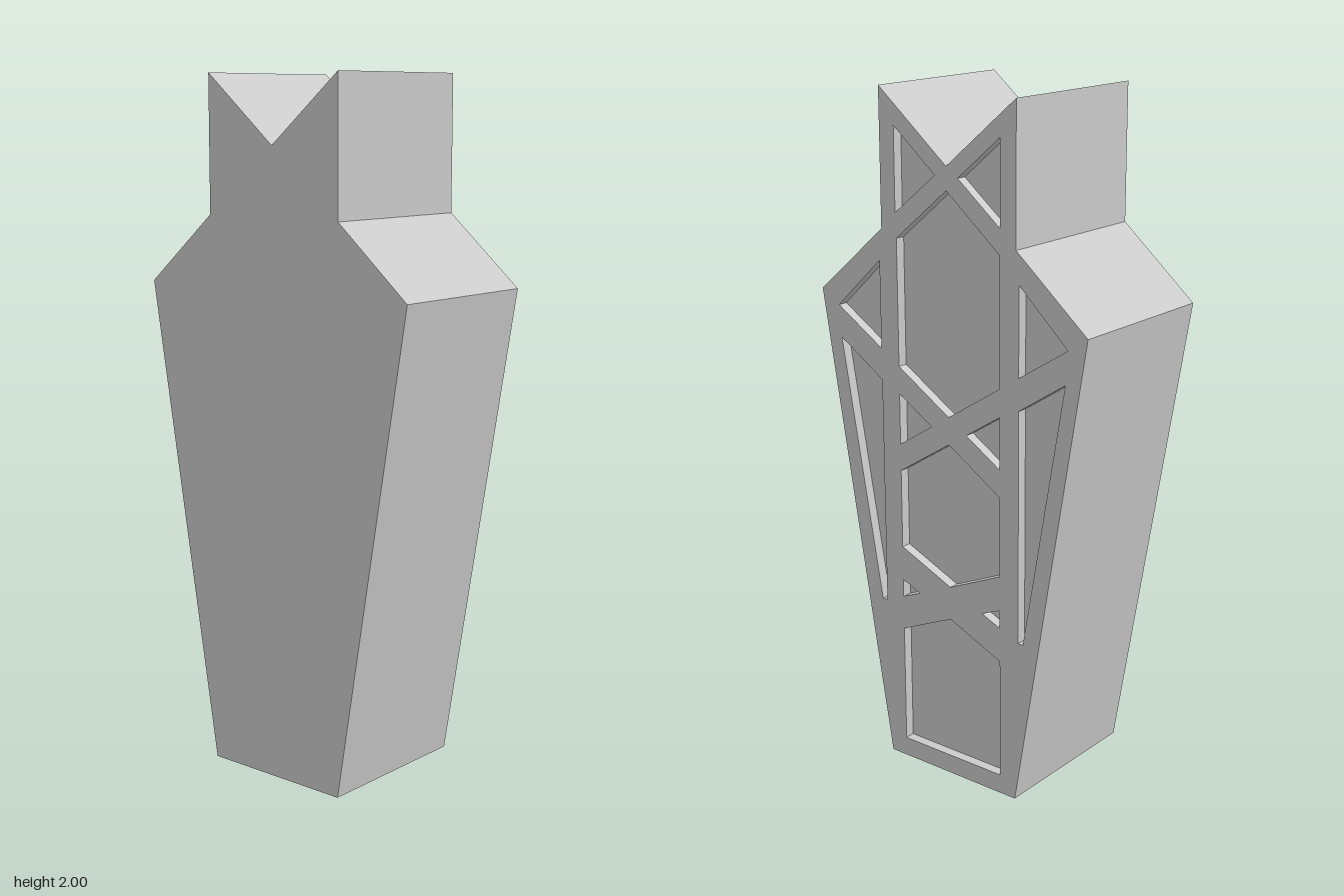
import * as THREE from 'three';

const toPath = (points, Type) => new Type(points.map(([x, y]) => new THREE.Vector2(x, y)));
const flip = (points) => points.map(([x, y]) => [-x, y]);

// Mirrors a half outline (listed from bottom centre to top centre) into a full ring
const ring = (half) => [
  ...half,
  ...flip(half).reverse().filter(([x]) => x !== 0),
];

export function createModel() {
  const model = new THREE.Group();
  const material = new THREE.MeshStandardMaterial({ color: 0xcccccc, flatShading: true });
  const back = -0.25, front = 0.25, recess = 0.03;

  // Tapered silhouette with shoulders and a notched top
  const outline = ring([[0.235, 0], [0.468, 1.41], [0.235, 1.61], [0.235, 2], [0, 1.805]]);

  const addSlab = (name, holes, z0, z1) => {
    const shape = toPath(outline, THREE.Shape);
    shape.holes = holes.map((points) => toPath(points, THREE.Path));
    const geometry = new THREE.ExtrudeGeometry(shape, { depth: z1 - z0, bevelEnabled: false });
    geometry.translate(0, 0, z0);
    const mesh = new THREE.Mesh(geometry, material);
    mesh.name = name;
    model.add(mesh);
  };

  // Openings along the centre line
  const centreOpenings = [
    [[0, 0.058], [0.18, 0.058], [0.18, 0.42], [0, 0.5]],
    [[0, 0.6], [0.18, 0.68], [0.18, 0.915], [0, 1.03]],
    [[0, 1.11], [0.18, 1.225], [0.18, 1.59], [0, 1.74]],
  ].map(ring);

  // Openings that occur once on each side
  const sideOpenings = [
    [[0.18, 0.523], [0.18, 0.577], [0.116, 0.55]],
    [[0.18, 0.995], [0.18, 1.145], [0.063, 1.07]],
    [[0.183, 1.66], [0.183, 1.897], [0.04, 1.777]],
    [[0.245, 1.267], [0.405, 1.369], [0.245, 1.52]],
    [[0.245, 0.495], [0.262, 0.495], [0.398, 1.275], [0.245, 1.175]],
  ];

  // Solid body, with a pierced lattice of crossing bars on its back
  addSlab('body', [], back + recess, front);
  addSlab('backLattice', [...centreOpenings, ...sideOpenings, ...sideOpenings.map(flip)], back, back + recess);

  return model;
}
